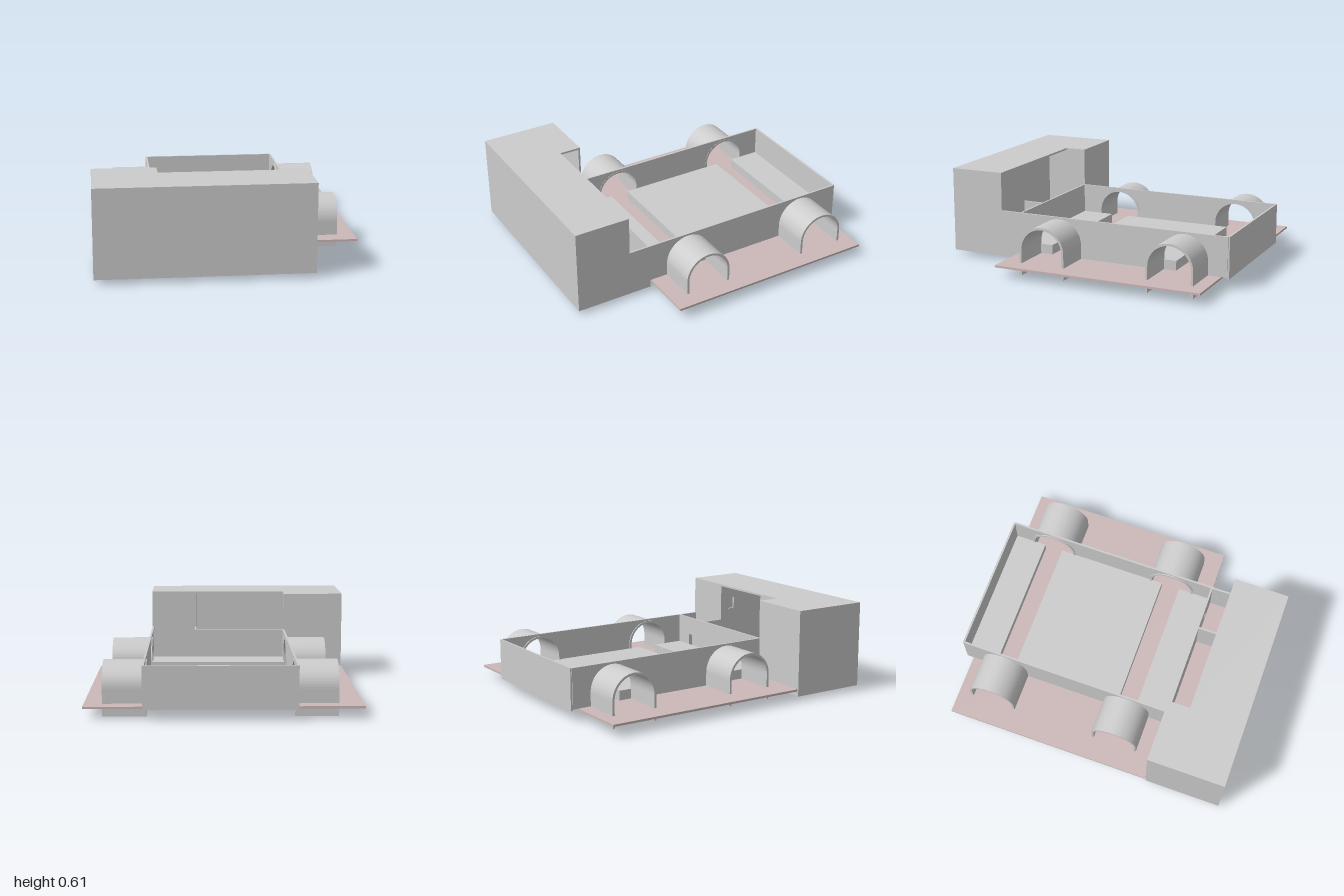
import * as THREE from 'three';

const grey = new THREE.MeshStandardMaterial({ color: 0xcccccc });
const tan = new THREE.MeshStandardMaterial({ color: 0xccb8b8 });
const T = 0.013; // sheet thickness

const points = (list) => list.map(([a, b]) => new THREE.Vector2(a, b));
const rect = (a0, a1, b0, b1) => [[a0, b0], [a1, b0], [a1, b1], [a0, b1]];

function sheet(outline, depth, holes = []) {
  const shape = new THREE.Shape(points(outline));
  holes.forEach((h) => shape.holes.push(new THREE.Path(points(h))));
  return new THREE.ExtrudeGeometry(shape, { depth, bevelEnabled: false });
}

export function createModel() {
  const model = new THREE.Group();
  const add = (name, geometry, material = grey, parent = model) => {
    const mesh = new THREE.Mesh(geometry, material);
    mesh.name = name;
    parent.add(mesh);
    return mesh;
  };
  // Panel facing z, drawn in (x, y), starting at z
  const panelZ = (name, z, outline, holes) =>
    add(name, sheet(outline, T, holes).translate(0, 0, z));
  // Panel facing x, drawn in (z, y), starting at x
  const panelX = (name, x, outline, holes) =>
    add(name, sheet(outline, T, holes).rotateY(-Math.PI / 2).translate(x + T, 0, 0));
  // Horizontal plate drawn in (x, z), spanning y0 to y1
  const plate = (name, y0, y1, outline, material) =>
    add(name, sheet(outline, y1 - y0).rotateX(Math.PI / 2).translate(0, y1, 0), material);

  // Base plate, continuing under the cab
  plate('basePlate', 0.067, 0.081, [
    [-0.875, -0.95], [0.875, -0.95], [0.875, 0.47], [0.49, 0.47],
    [0.49, 0.985], [-0.86, 0.985], [-0.86, 0.47], [-0.875, 0.47],
  ], tan);

  // Points of an arch running from one foot to the other
  const axles = [0.19, -0.7], springY = 0.172;
  const arch = (zc, r, foot) => {
    const pts = [[zc + r, foot]];
    for (let i = 0; i <= 32; i++) {
      const a = (i / 32) * Math.PI;
      pts.push([zc + r * Math.cos(a), springY + r * Math.sin(a)]);
    }
    pts.push([zc - r, foot]);
    return pts;
  };

  // Bed side walls, cut open at the wheel arches
  const side = [
    [0.485, 0.08], [0.485, 0.345], [-0.99, 0.345], [-0.99, 0.08],
    ...arch(axles[1], 0.146, 0.08).reverse(),
    ...arch(axles[0], 0.146, 0.08).reverse(),
  ];
  panelX('bedRightWall', 0.492, side);
  panelX('bedLeftWall', -0.46, side);
  panelZ('bedRearWall', -1, rect(-0.455, 0.5, 0.07, 0.345));
  panelZ('bedFrontWall', 0.474, rect(-0.46, 0.505, 0.08, 0.345),
    [rect(0.33, 0.37, 0.14, 0.22)]);

  // Raised floor slabs with axle channels between them
  [[-0.987, -0.77], [-0.64, 0.12], [0.25, 0.474]].forEach(([z0, z1]) =>
    plate('bedFloorSlab', 0.081, 0.145, rect(-0.447, 0.492, z0, z1)));

  // Wheel arches, with feet passing through the base plate
  const wheelArches = new THREE.Group();
  wheelArches.name = 'wheelArches';
  model.add(wheelArches);
  for (const zc of axles) {
    for (const x1 of [0.76, -0.445]) {
      const ring = [...arch(zc, 0.16, 0), ...arch(zc, 0.145, 0).reverse()];
      add('wheelArch', sheet(ring, 0.275).rotateY(-Math.PI / 2).translate(x1, 0, 0),
        grey, wheelArches);
    }
  }

  // Hollow cab, open below and cut away at the back
  panelZ('cabFrontWall', 1 - T, rect(-0.875, 0.505, 0.03, 0.605));
  panelX('cabLeftWall', -0.875, rect(0.477, 1, 0.03, 0.605));
  panelX('cabRightWall', 0.505 - T, [
    [0.477, 0.03], [1, 0.03], [1, 0.605], [0.625, 0.605], [0.625, 0.345], [0.477, 0.345],
  ]);
  panelZ('cabRearWall', 0.477, rect(-0.875, -0.455, 0.03, 0.605));
  plate('cabRoof', 0.605 - T, 0.605, [
    [-0.875, 0.477], [-0.455, 0.477], [-0.455, 0.625], [0.505, 0.625], [0.505, 1], [-0.875, 1],
  ]);

  // Cab partition with a small slot, and the closed compartment beside it
  panelX('cabPartition', 0.18, [
    [0.487, 0.08], [0.987, 0.08], [0.987, 0.592], [0.625, 0.592], [0.625, 0.345], [0.487, 0.345],
  ], [rect(0.69, 0.74, 0.42, 0.5)]);
  panelZ('compartmentWall', 0.625, rect(0.193, 0.492, 0.08, 0.592));

  return model;
}
